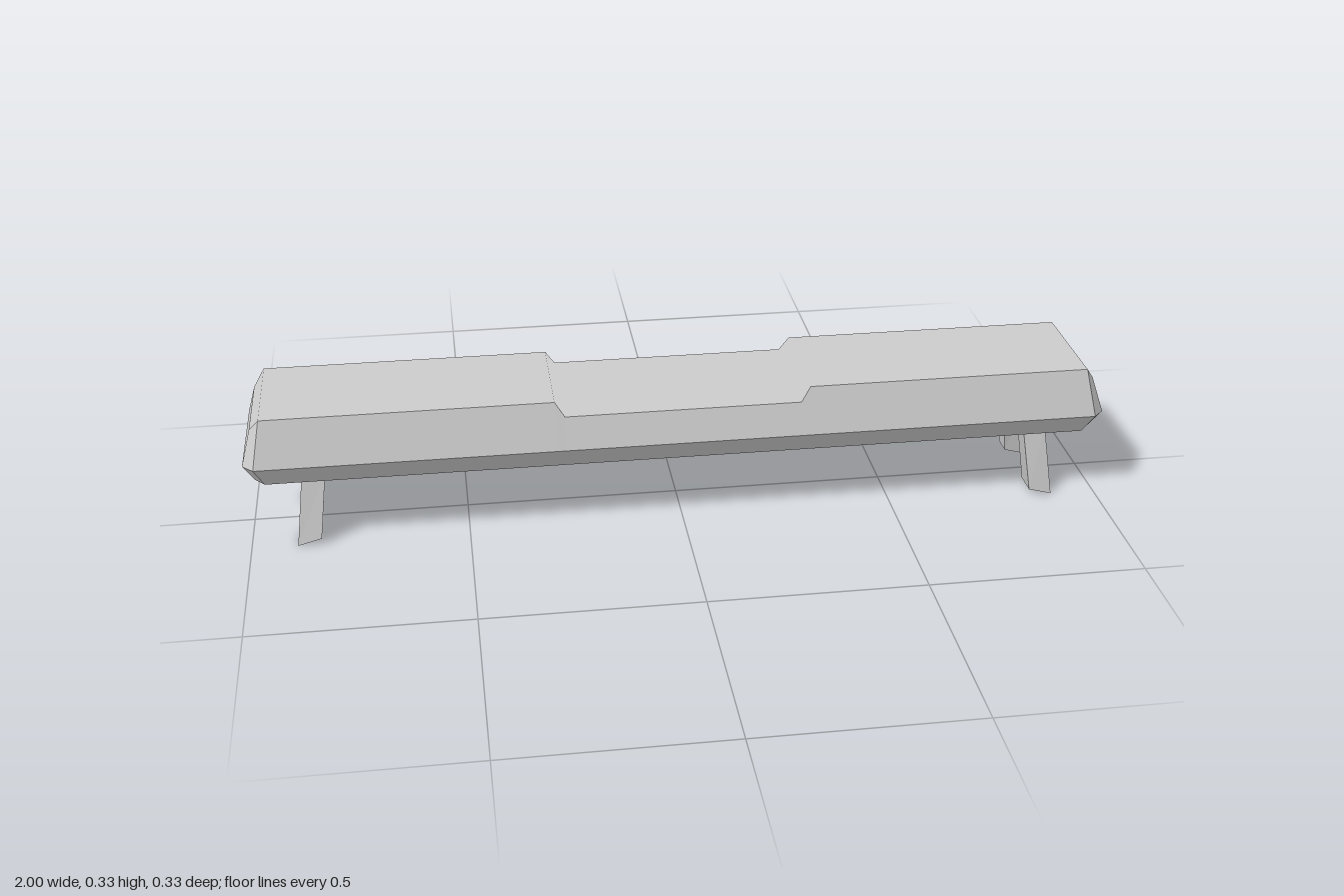
import * as THREE from 'three';

const V = (x, y, z) => new THREE.Vector3(x, y, z);

// Flat quads, each wound to face its outward hint; an optional normal overrides the shading
function quadMesh(name, quads, material, normal) {
  const pos = [], nor = [];
  for (const { p, out } of quads) {
    const n = p[2].clone().sub(p[0]).cross(p[3].clone().sub(p[1])).normalize();
    const q = n.dot(out) < 0 ? [...p].reverse() : p;
    if (n.dot(out) < 0) n.negate();
    for (const i of [0, 1, 2, 0, 2, 3]) {
      pos.push(...q[i].toArray());
      nor.push(...(normal || n).toArray());
    }
  }
  const g = new THREE.BufferGeometry();
  g.setAttribute('position', new THREE.Float32BufferAttribute(pos, 3));
  g.setAttribute('normal', new THREE.Float32BufferAttribute(nor, 3));
  const mesh = new THREE.Mesh(g, material);
  mesh.name = name;
  return mesh;
}

// Tilted U-shaped leg pair under one end (s = +1 or -1)
function legPair(s, material) {
  const outline = [[0.137, 0], [0.11, 0.17], [-0.09, 0.17], [-0.118, 0],
    [-0.067, 0], [-0.05, 0.153], [0.062, 0.153], [0.078, 0]];
  const shape = new THREE.Shape(outline.map(([z, y]) => new THREE.Vector2(-s * z, y)));
  const g = new THREE.ExtrudeGeometry(shape, { depth: 1, bevelEnabled: false });
  const p = g.attributes.position;
  for (let i = 0; i < p.count; i++) {
    const a = p.getX(i), y = p.getY(i), outer = p.getZ(i) > 0.5;
    // the inner edge is cut higher at the feet and lower under the crossbar
    const yy = outer ? y : y < 0.01 ? 0.015 : y < 0.16 ? 0.14 : y;
    const x = (outer ? 0.895 : 0.842) - 0.125 * yy;
    p.setXYZ(i, s * x, yy, -s * a);
  }
  g.computeVertexNormals();
  const mesh = new THREE.Mesh(g, material);
  mesh.name = s > 0 ? 'leftLegs' : 'rightLegs';
  return mesh;
}

export function createModel() {
  const group = new THREE.Group();
  group.name = 'bench';
  const grey = new THREE.MeshStandardMaterial({ color: 0xcccccc });
  grey.name = 'light grey';
  const up = V(0, 1, 0);

  // Corner points: side corner and end corner at the bottom, waist and top
  const side = [V(0.955, 0.165, 0.135), V(0.975, 0.217, 0.165), V(0.955, 0.327, 0.135)];
  const end = [V(0.977, 0.165, 0.11), V(1, 0.217, 0.14), V(0.979, 0.293, 0.11)];
  const at = (v, sx, sz) => V(v.x * sx, v.y, v.z * sz);

  // Top contour with the shallow notch in the middle
  const rim = [[-0.955, 0.327, 0.135], [-0.295, 0.327, 0.135], [-0.273, 0.293, 0.144],
    [0.273, 0.293, 0.144], [0.295, 0.327, 0.135], [0.955, 0.327, 0.135]].map(a => V(...a));

  const walls = [], top = [];
  for (const s of [1, -1]) {
    const outZ = V(0, 0, s), outX = V(s, 0, 0);
    // long sides
    walls.push({ out: outZ, p: [at(side[0], -1, s), at(side[0], 1, s), at(side[1], 1, s), at(side[1], -1, s)] });
    for (let i = 0; i < 5; i++) {
      const low = j => V(j === 0 ? -0.975 : j === 5 ? 0.975 : rim[j].x, 0.217, 0.165 * s);
      walls.push({ out: outZ, p: [low(i), low(i + 1), at(rim[i + 1], 1, s), at(rim[i], 1, s)] });
    }
    // ends and chamfered corners
    for (let k = 0; k < 2; k++) {
      walls.push({ out: outX, p: [at(end[k], s, -1), at(end[k], s, 1), at(end[k + 1], s, 1), at(end[k + 1], s, -1)] });
      for (const sz of [1, -1]) {
        walls.push({ out: V(s, 0, sz), p: [at(end[k], s, sz), at(side[k], s, sz), at(side[k + 1], s, sz), at(end[k + 1], s, sz)] });
      }
    }
    // sloping lips of the top and end pieces of the underside
    top.push({ out: up, p: [at(side[2], s, -1), at(side[2], s, 1), at(end[2], s, 1), at(end[2], s, -1)] });
    walls.push({ out: V(0, -1, 0), p: [at(side[0], s, -1), at(side[0], s, 1), at(end[0], s, 1), at(end[0], s, -1)] });
  }
  walls.push({ out: V(0, -1, 0), p: [at(side[0], -1, -1), at(side[0], 1, -1), at(side[0], 1, 1), at(side[0], -1, 1)] });
  for (let i = 0; i < 5; i++) {
    top.push({ out: up, p: [rim[i], rim[i + 1], at(rim[i + 1], 1, -1), at(rim[i], 1, -1)] });
  }

  group.add(quadMesh('body', walls, grey));
  group.add(quadMesh('topSurface', top, grey, up)); // shaded evenly across the notch
  for (const s of [1, -1]) group.add(legPair(s, grey));
  return group;
}
